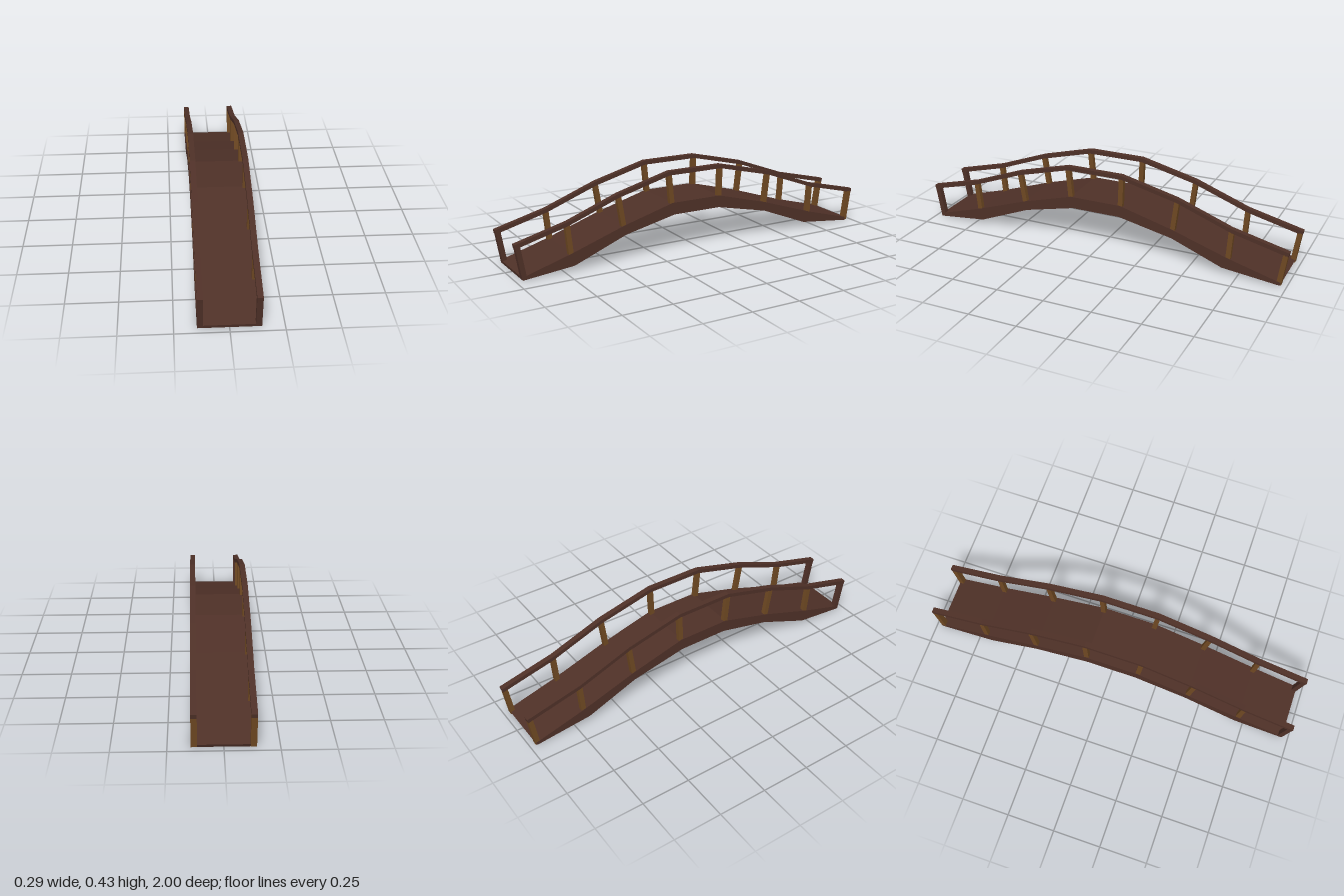
import * as THREE from 'three';

const darkWood = new THREE.MeshStandardMaterial({ color: 0x4e3027 });
darkWood.name = 'dark wood';
const postWood = new THREE.MeshStandardMaterial({ color: 0x6e4822 });
postWood.name = 'golden wood';

// Side outlines as [z, y], from the front end to the back end
const deckTop = [[0.968, 0.015], [0.714, 0.09], [0.43, 0.186], [0.158, 0.262],
  [-0.12, 0.262], [-0.404, 0.186], [-0.698, 0.09], [-0.972, 0.015]];
const deckBottom = [[0.965, 0], [0.70, 0.027], [0.42, 0.138], [0.147, 0.2],
  [-0.115, 0.2], [-0.404, 0.138], [-0.67, 0.033], [-0.965, 0]];
const railTop = [[1, 0.18], [0.73, 0.25], [0.457, 0.352], [0.174, 0.427],
  [-0.126, 0.427], [-0.425, 0.355], [-0.709, 0.25], [-1, 0.18]];
const railThickness = 0.021;
const inner = 0.118, outer = 0.146;

// A side outline extruded across x
function slab(name, points, x0, x1, material) {
  const shape = new THREE.Shape(points.map(([z, y]) => new THREE.Vector2(z, y)));
  const geometry = new THREE.ExtrudeGeometry(shape, { depth: x1 - x0, bevelEnabled: false });
  geometry.rotateY(-Math.PI / 2).translate(x1, 0, 0);
  const mesh = new THREE.Mesh(geometry, material);
  mesh.name = name;
  return mesh;
}

export function createModel() {
  const bridge = new THREE.Group();
  bridge.name = 'archedBridge';

  // Arched deck
  bridge.add(slab('deck', [...deckTop, ...[...deckBottom].reverse()], -outer, outer, darkWood));

  const railBottom = railTop.map(([z, y], i) => {
    const inset = i === 0 ? -0.004 : i === railTop.length - 1 ? 0.004 : 0;
    return [z + inset, y - railThickness];
  });

  for (const side of [1, -1]) {
    const railing = new THREE.Group();
    railing.name = side > 0 ? 'leftRailing' : 'rightRailing';
    const [x0, x1] = side > 0 ? [inner, outer] : [-outer, -inner];

    // Handrail following the arch
    railing.add(slab('handrail', [...railTop, ...[...railBottom].reverse()], x0, x1, darkWood));

    // Posts leaning from each deck bend to the handrail bend above it
    railBottom.forEach(([z, y], i) => {
      const first = i === 0, last = i === railBottom.length - 1;
      const shift = first ? -0.013 : last ? 0.013 : 0;
      const [zb, yb] = deckTop[i];
      const w = 0.0125, a = z + shift, b = zb + shift;
      const foot = first || last ? 0.003 : yb - 0.012;
      const head = y + 0.008;
      const d = first || last ? 0 : 0.002;
      railing.add(slab(first ? 'frontEndPost' : last ? 'backEndPost' : 'post',
        [[a + w, head], [a - w, head], [b - w, foot], [b + w, foot]],
        x0 + d, x1 - d, first ? darkWood : postWood));
    });
    bridge.add(railing);
  }
  return bridge;
}
